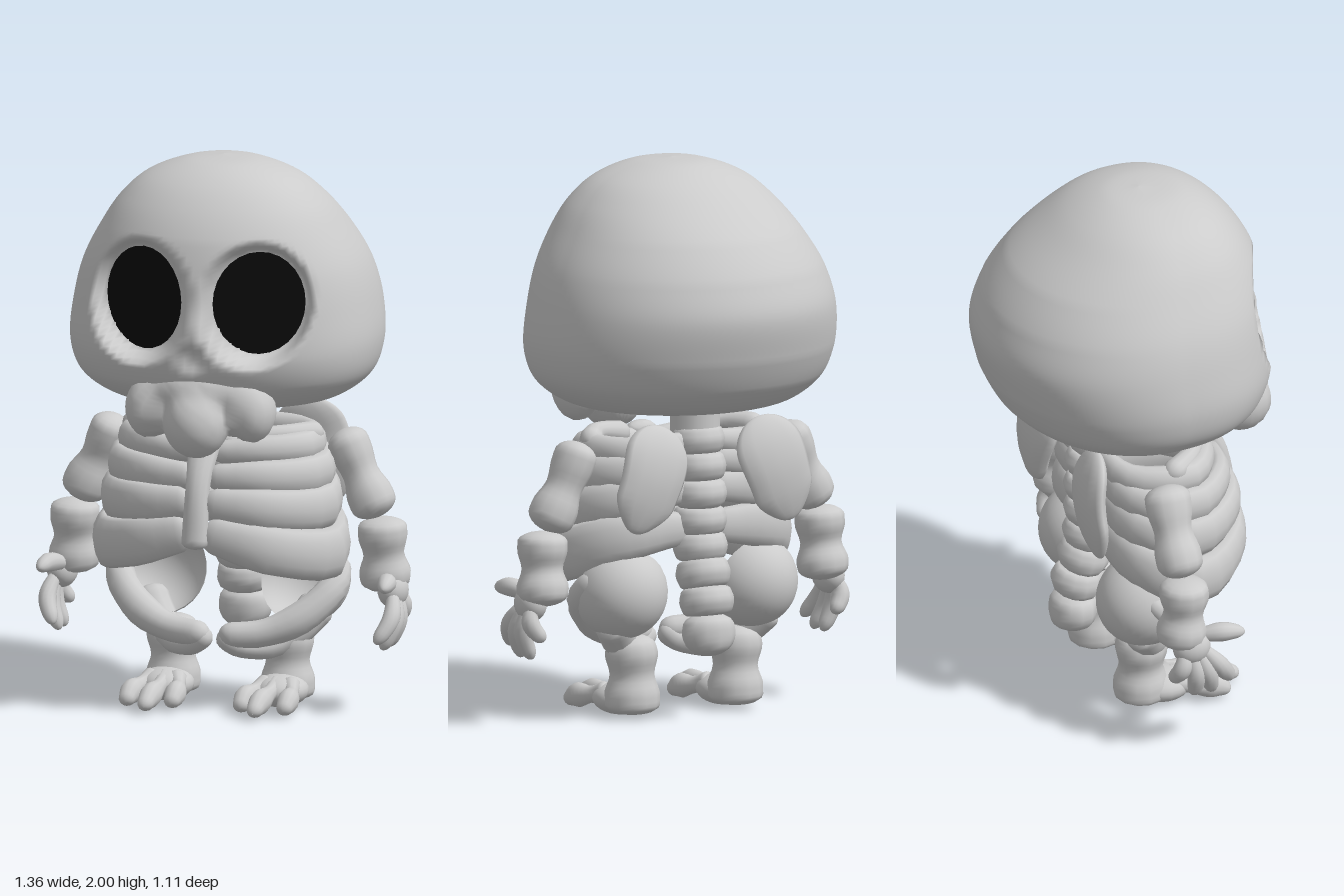
import * as THREE from 'three';

const bone = new THREE.MeshStandardMaterial({ color: 0xcccccc, side: THREE.DoubleSide });
const black = new THREE.MeshStandardMaterial({ color: 0x0a0a0a, side: THREE.DoubleSide });
const { lerp, smoothstep } = THREE.MathUtils;

// closed skin over rings of points
function loft(rings) {
  const n = rings[0].length, index = [];
  for (let i = 0; i < rings.length - 1; i++) for (let j = 0; j < n; j++) {
    const k = (j + 1) % n, a = i * n + j, b = a + n, c = i * n + k, d = c + n;
    index.push(a, b, c, b, d, c);
  }
  const g = new THREE.BufferGeometry();
  g.setAttribute('position', new THREE.Float32BufferAttribute(rings.flat().flatMap(p => [p.x, p.y, p.z]), 3));
  g.setIndex(index);
  g.computeVertexNormals();
  return g;
}

// smooth value from evenly spaced samples
function sample(list, t) {
  const f = t * (list.length - 1), i = Math.min(Math.floor(f), list.length - 2);
  return lerp(list[i], list[i + 1], smoothstep(f - i, 0, 1));
}

// round-ended bone along a path: radii ra toward ref, rb across it
function sweep(points, ra, rb, ref, end = 0.15, steps = 22, sides = 12) {
  const curve = new THREE.CatmullRomCurve3(points.map(p => new THREE.Vector3(...p)));
  const rings = [];
  for (let i = 0; i <= steps; i++) {
    const t = (1 - Math.cos(Math.PI * i / steps)) / 2;
    const e = Math.min(1, Math.min(t, 1 - t) / end);
    const cap = Math.max(0.01, Math.sqrt(1 - (1 - e) ** 2));
    const p = curve.getPointAt(t), d = curve.getTangentAt(t);
    const u = new THREE.Vector3(...ref).addScaledVector(d, -d.dot(new THREE.Vector3(...ref))).normalize();
    const v = new THREE.Vector3().crossVectors(u, d);
    rings.push(Array.from({ length: sides }, (_, j) => {
      const q = j / sides * Math.PI * 2;
      return p.clone().addScaledVector(u, Math.cos(q) * cap * sample(ra, t))
        .addScaledVector(v, Math.sin(q) * cap * sample(rb, t));
    }));
  }
  return loft(rings);
}

const Z = [0, 0, 1], Y = [0, 1, 0];

// cranium from height, half width, front z and back z, with sunken sockets
function cranium() {
  const rows = [
    [2.0, .0005, .05, .049], [1.985, .14, .2, -.08], [1.93, .28, .31, -.2], [1.85, .37, .39, -.31],
    [1.75, .44, .45, -.43], [1.62, .51, .485, -.52], [1.48, .548, .5, -.56], [1.33, .56, .5, -.53],
    [1.22, .525, .46, -.475], [1.14, .42, .36, -.38], [1.11, .25, .22, -.24], [1.1, .0005, .0005, 0]];
  const a = new THREE.CatmullRomCurve3(rows.map(r => new THREE.Vector3(r[0], r[1], 0)));
  const b = new THREE.CatmullRomCurve3(rows.map(r => new THREE.Vector3(r[2], r[3], 0)));
  const rings = [];
  for (let i = 0; i <= 88; i++) {
    const s = a.getPoint(i / 88), f = b.getPoint(i / 88);
    rings.push(Array.from({ length: 112 }, (_, j) => {
      const q = j / 112 * Math.PI * 2, c = Math.cos(q);
      const x = s.y * Math.sin(q), y = s.x;
      // the face is flatter than the round back
      let z = (f.x + f.y) / 2 + (f.x - f.y) / 2 * (c > 0 ? c ** .82 : c);
      if (z > 0) {
        const d = Math.hypot((Math.abs(x) - .212) / .18, (y - 1.525) / .21);
        z = lerp(z, Math.min(z, .44 - .43 * Math.abs(x)), 1 - smoothstep(d, .88, 1.1));
        z -= .03 * (1 - smoothstep(Math.hypot(x / .07, (y - 1.33) / .07), .2, 1));
      }
      return new THREE.Vector3(x, y, z);
    }));
  }
  return loft(rings);
}

// upper jaw: ellipsoids (centre, radii) melted into one lobed surface
function jaw() {
  const lobes = [
    [0, 1.09, .435, .118, .125, .115], [.19, 1.13, .37, .085, .112, .11],
    [-.19, 1.13, .37, .085, .112, .11], [0, 1.21, .385, .2, .09, .1]];
  const g = new THREE.SphereGeometry(1, 48, 32), p = g.attributes.position;
  const dir = new THREE.Vector3(), q = new THREE.Vector3(), centre = new THREE.Vector3(0, 1.16, .37);
  for (let i = 0; i < p.count; i++) {
    dir.fromBufferAttribute(p, i);
    for (let r = .4; r > 0; r -= .002) {
      q.copy(centre).addScaledVector(dir, r);
      const field = lobes.reduce((sum, [x, y, z, a, b, c]) =>
        sum + Math.exp(3 - 3 * (((q.x - x) / a) ** 2 + ((q.y - y) / b) ** 2 + ((q.z - z) / c) ** 2)), 0);
      if (field >= 1) break;
    }
    p.setXYZ(i, q.x, q.y, q.z);
  }
  g.computeVertexNormals();
  return g;
}

export function createModel() {
  const model = new THREE.Group(), head = new THREE.Group();
  const add = (name, geometry, material = bone, parent = model) => {
    const m = new THREE.Mesh(geometry, material);
    m.name = name;
    parent.add(m);
    return m;
  };
  const blob = (name, pos, r) => {
    const m = add(name, new THREE.SphereGeometry(1, 20, 14));
    m.position.set(...pos);
    m.scale.set(...r);
  };

  // head, turned very slightly
  head.name = 'head';
  head.rotation.y = .05;
  model.add(head);
  add('skull', cranium(), bone, head);
  add('upperJaw', jaw(), bone, head);

  // neck and spine, one bead per vertebra
  add('neck', new THREE.CylinderGeometry(.09, .09, .16, 14)).position.set(0, 1.07, -.11);
  const spineZ = [-.12, -.13, -.14, -.14, -.14, -.15, -.18, -.2];
  spineZ.forEach((z, i) => {
    const y = 1.0 - i * .096, next = spineZ[i + 1] ?? z - .01, last = i === 7;
    add('vertebra', sweep([[0, y + .055, z], [0, y - (last ? .1 : .055), next]],
      [.08, last ? .085 : .095, .075], [.088, .1, last ? .07 : .088], Z, last ? .25 : .12, 12));
  });

  // breastbone and ribs: front y, side y, back y, half width, front z, half height
  add('breastbone', sweep([[0, 1.01, .25], [0, .85, .345], [0, .62, .39]], [.035, .04, .035], [.06, .045, .05], Z, .06));
  const ribs = [
    [.95, .965, 1.0, .335, .25, .055], [.87, .87, .93, .375, .31, .065],
    [.785, .75, .83, .4, .35, .075], [.68, .585, .69, .43, .365, .088]];

  for (const s of [1, -1]) {
    const side = pts => pts.map(([x, y, z]) => [x * s, y, z]);
    const limb = (name, pts, ra, rb = ra, ref = Z, end) => add(name, sweep(side(pts), ra, rb, ref, end));

    const eye = add('eye', new THREE.CircleGeometry(1, 28), black, head);
    eye.position.set(.212 * s, 1.525, .358);
    eye.scale.set(.168, .186, 1);
    eye.rotation.y = .406 * s;

    for (const [yf, ys, yb, w, zf, h] of ribs)
      limb('rib', [[.02, yf, zf], [w * .6, lerp(yf, ys, .65), zf * .85], [w, ys, .1], [w * .8, yb - .03, -.1], [.05, yb, -.15]],
        [h * .75, h, h * 1.1, h, h * .7], [.035, .045, .045, .04, .03], Y, .05);
    limb('collarBone', [[.1, .985, .2], [.25, 1.01, .15], [.36, 1.0, .02]], [.045, .035, .045], undefined, Y);

    // shoulder blade, narrow toward its lower outer tip
    limb('shoulderBlade', [[.2, 1.075, -.2], [.25, .92, -.245], [.33, .7, -.235]],
      [.04, .04, .03], [.13, .135, .125, .09], Z, .3);

    // arm
    limb('upperArm', [[.425, 1.01, -.02], [.48, .88, -.02], [.565, .7, -.01]], [.09, .085, .07, .085, .085], [.075, .075, .065, .085, .085], Z, .16);
    limb('forearm', [[.575, .7, -.01], [.58, .57, -.015], [.585, .43, -.03]], [.085, .09, .07, .09, .085], [.09, .09, .075, .095, .085], Z, .14);

    // hand: fingers fan out front to back
    blob('palm', [.62 * s, .44, 0], [.055, .065, .07]);
    [[.16, .27], [.085, .235], [.015, .235], [-.07, .31]].forEach(([z, y], i) =>
      limb('finger', [[.63, .44, .03 - i * .02], [.645, (y + .44) / 2, z * .62], [.605, y, z]],
        [.022, .034, .026], [.022, .032, .026], Z, .2));
    limb('thumb', [[.6, .47, .03], [.635, .485, .12], [.645, .475, .195]], [.025, .035, .022], undefined, Y, .2);

    // pelvis: open bowl, front rim and lower loop
    const bowl = add('hipBowl', new THREE.SphereGeometry(1, 28, 12, 0, Math.PI * 2, 0, Math.PI / 2));
    bowl.position.set(.27 * s, .46, -.04);
    bowl.scale.set(.17, .175, .17);
    bowl.rotation.set(-1.95, 0, -.2 * s);
    limb('hipRim', [[.4, .53, -.08], [.4, .44, .01], [.31, .34, .08], [.18, .28, .13], [.02, .27, .17]],
      [.04, .055, .06, .05, .045], undefined, Y, .08);
    limb('hipLoop', [[.33, .37, -.08], [.25, .27, -.01], [.17, .22, .07], [.08, .23, .14], [.02, .28, .165]],
      [.07, .065, .05, .04, .04], undefined, Y, .08);

    // leg and foot
    limb('leg', [[.22, .3, -.03], [.215, .15, -.03], [.215, .01, -.03]], [.08, .095, .08, .1, .1], [.08, .095, .08, .1, .1], Z, .12);
    blob('foot', [.215 * s, .06, .05], [.1, .06, .11]);
    [[.13, .27], [.205, .35], [.295, .28]].forEach(([x, z]) =>
      limb('toe', [[lerp(.215, x, .5), .08, .06], [lerp(.215, x, .9), .062, z * .55], [x, .05, z * .8], [x, .025, z]],
        [.045, .03, .045, .025], [.04, .026, .038, .028], Y, .1));
  }
  return model;
}
